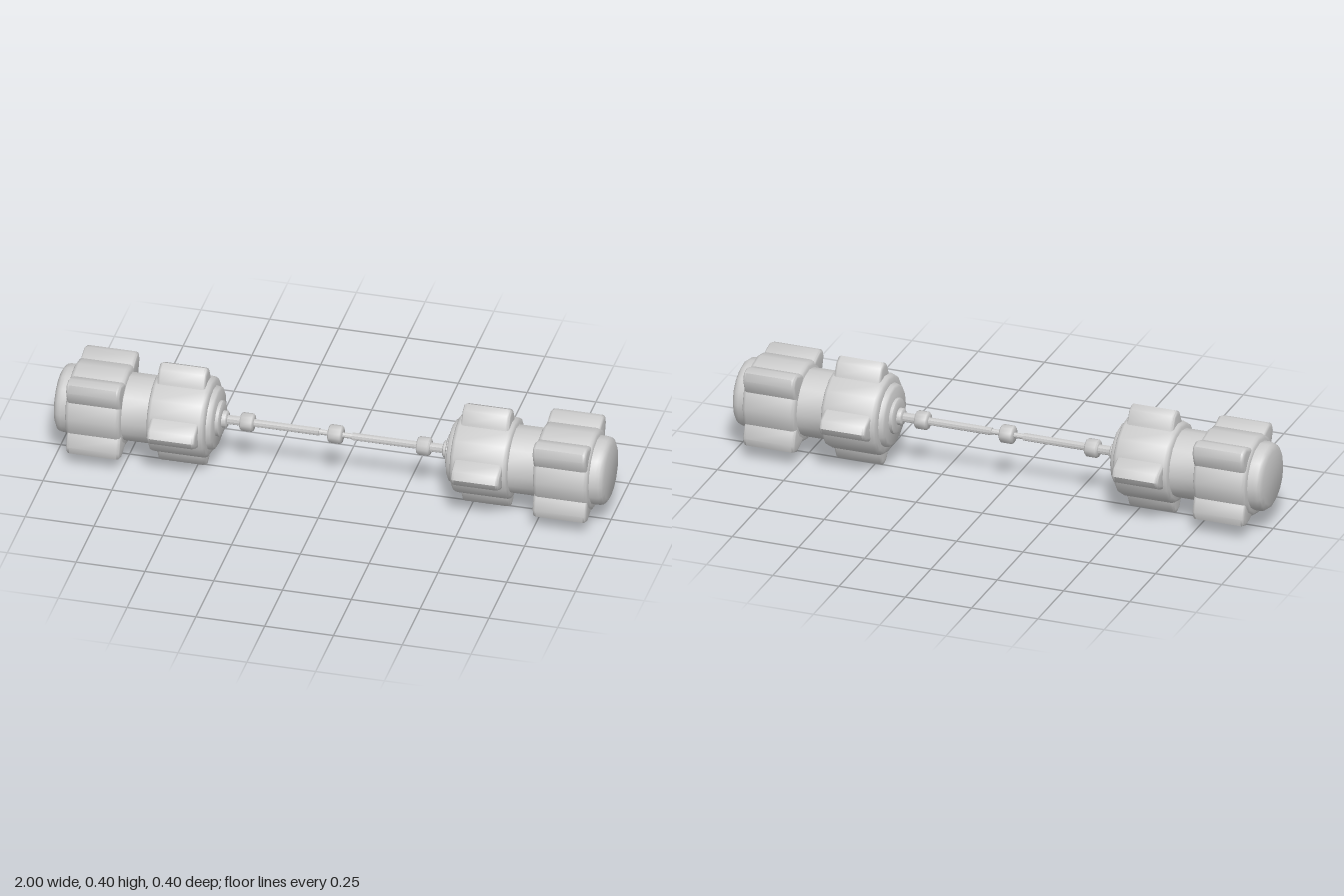
import * as THREE from 'three';
import { toCreasedNormals } from 'three/addons/utils/BufferGeometryUtils.js';

const material = new THREE.MeshStandardMaterial({ color: 0xcccccc });
const AXIS = 0.197; // height of the shaft line

function mesh(name, geometry) {
  const m = new THREE.Mesh(toCreasedNormals(geometry, 0.9), material);
  m.name = name;
  return m;
}

// Solid of revolution along +x; profile is [x, radius] with x increasing
function turned(name, profile, sides = 16) {
  const points = profile.map(([x, r]) => new THREE.Vector2(r, x));
  return mesh(name, new THREE.LatheGeometry(points, sides).rotateZ(-Math.PI / 2));
}

// Ring of four ridges along x, each with a pointed, faceted section
function lugs(name, x0, x1, startAngle) {
  const ring = new THREE.Group();
  ring.name = name + 's';
  const b = 0.012;
  const shape = new THREE.Shape([
    [-0.045, 0.11], [-0.036, 0.14], [-0.018, 0.176], [0, 0.185],
    [0.018, 0.176], [0.036, 0.14], [0.045, 0.11],
  ].reverse().map(([u, v]) => new THREE.Vector2(u, v)));
  const geometry = new THREE.ExtrudeGeometry(shape, {
    depth: x1 - x0 - 2 * b, bevelThickness: b, bevelSize: b, bevelSegments: 3,
  });
  geometry.translate(0, 0, x0 + b).rotateY(Math.PI / 2);
  for (let i = 0; i < 4; i++) {
    const lug = mesh(name, geometry);
    lug.rotation.x = startAngle + (i * Math.PI) / 2;
    ring.add(lug);
  }
  return ring;
}

function weight() {
  const g = new THREE.Group();
  g.add(
    // Stepped boss where the shaft enters
    turned('shaftBoss', [
      [0.392, 0], [0.392, 0.026], [0.396, 0.031], [0.41, 0.031], [0.41, 0.058],
      [0.414, 0.065], [0.425, 0.065], [0.43, 0.065],
    ]),
    turned('innerDrum', [
      [0.425, 0], [0.425, 0.103], [0.43, 0.112], [0.445, 0.116], [0.447, 0.134],
      [0.452, 0.142], [0.462, 0.147], [0.64, 0.147], [0.65, 0.143], [0.655, 0.133], [0.655, 0],
    ]),
    turned('neck', [[0.64, 0.123], [0.77, 0.123]]),
    turned('outerDrum', [
      [0.75, 0], [0.75, 0.133], [0.755, 0.143], [0.765, 0.147], [0.935, 0.147],
      [0.945, 0.143], [0.95, 0.133], [0.95, 0],
    ]),
    turned('endCap', [
      [0.94, 0.124], [0.972, 0.124], [0.984, 0.121], [0.993, 0.114], [1, 0.099], [1, 0],
    ]),
    lugs('innerLug', 0.465, 0.64, 0),
    lugs('outerLug', 0.75, 0.945, Math.PI / 4),
  );
  // Half of the shaft and its collar
  g.add(
    turned('shaft', [[0, 0.01], [0.06, 0.01], [0.06, 0.014], [0.31, 0.014]], 10),
    turned('shaftEnd', [[0.335, 0.017], [0.4, 0.017]], 10),
    turned('collar', [
      [0.297, 0], [0.297, 0.028], [0.302, 0.033], [0.34, 0.033], [0.345, 0.028], [0.345, 0],
    ], 12),
  );
  return g;
}

export function createModel() {
  const model = new THREE.Group();
  model.name = 'dumbbell';
  const left = weight();
  left.name = 'leftHalf';
  const right = weight();
  right.name = 'rightHalf';
  right.rotation.y = Math.PI;
  const centre = turned('centreCollar', [
    [-0.025, 0], [-0.025, 0.028], [-0.02, 0.033], [0.02, 0.033], [0.025, 0.028], [0.025, 0],
  ], 12);
  for (const part of [left, right, centre]) {
    part.position.y = AXIS;
    model.add(part);
  }
  return model;
}
